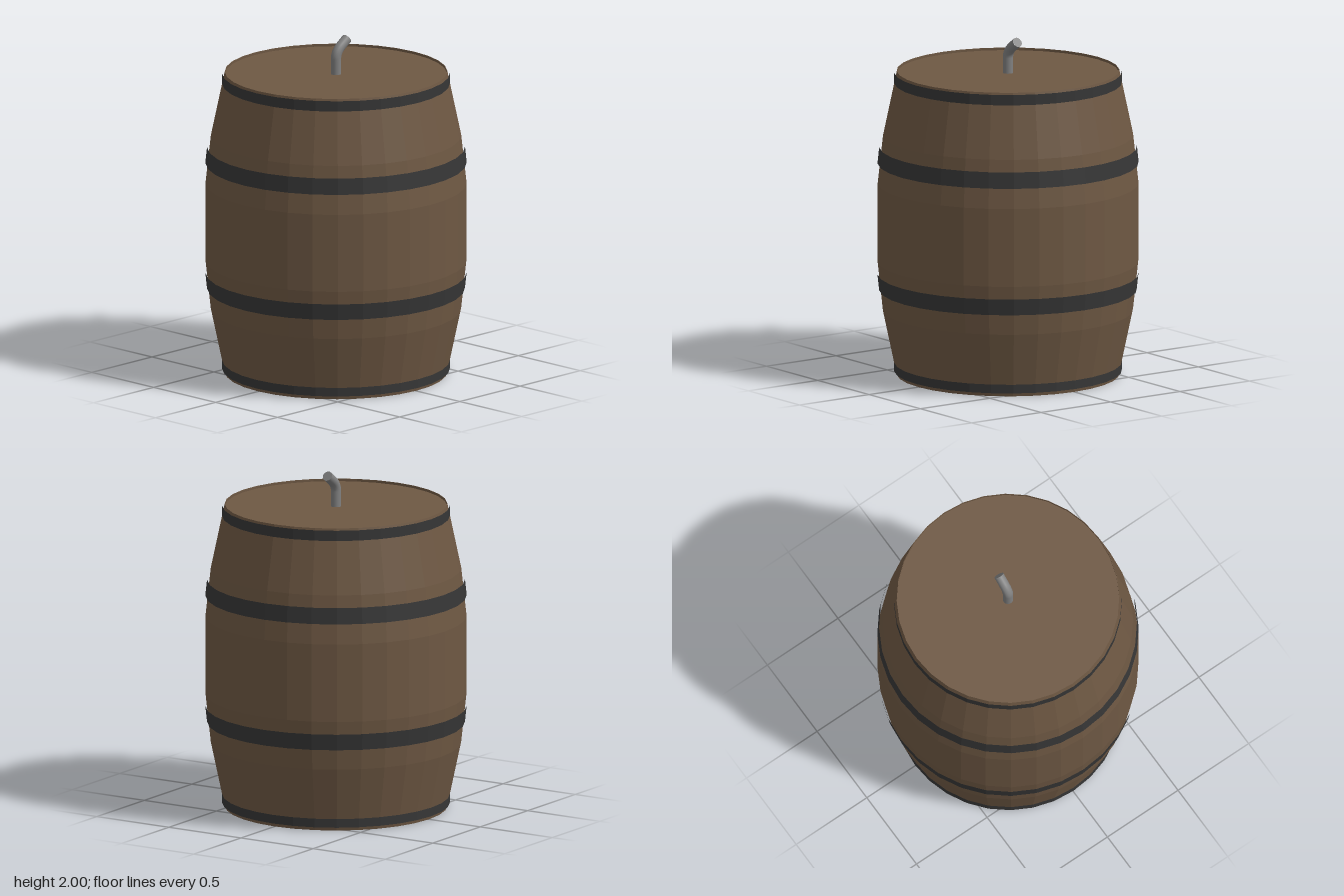
import * as THREE from 'three';

const SIDES = 32;
const wood = new THREE.MeshStandardMaterial({ color: 0x6e5843, flatShading: true });
const iron = new THREE.MeshStandardMaterial({ color: 0x363636, flatShading: true });
const metal = new THREE.MeshStandardMaterial({ color: 0x808080 });

// Turned part from [radius, height] pairs
function turned(name, profile, material) {
  const points = profile.map(([r, y]) => new THREE.Vector2(r, y));
  const mesh = new THREE.Mesh(new THREE.LatheGeometry(points, SIDES), material);
  mesh.name = name;
  return mesh;
}

export function createModel() {
  const group = new THREE.Group();
  group.name = 'barrel';

  // Bulging staves with base and slightly recessed lid
  group.add(turned('body', [
    [0, 0], [0.645, 0], [0.725, 0.38], [0.756, 0.67],
    [0.756, 1.13], [0.725, 1.415], [0.645, 1.795],
    [0.643, 1.795], [0.643, 1.78], [0, 1.78],
  ], wood));

  // Hoops: open bands standing just off the staves
  const hoops = [
    ['bottomHoop', [[0.66, 0.02], [0.66, 0.11]]],
    ['lowerHoop', [[0.747, 0.5], [0.757, 0.595]]],
    ['upperHoop', [[0.757, 1.25], [0.747, 1.345]]],
    ['topHoop', [[0.66, 1.69], [0.66, 1.785]]],
  ];
  for (const [name, profile] of hoops) group.add(turned(name, profile, iron));

  // Bent spout rising from the lid
  const spout = new THREE.Group();
  spout.name = 'spout';
  const bend = new THREE.CurvePath();
  const corner = new THREE.Vector3(0, 1.912, 0);
  const start = new THREE.Vector3(0, 1.87, 0);
  const bendEnd = new THREE.Vector3(0.045, 1.943, 0);
  const tip = new THREE.Vector3(0.091, 1.975, 0);
  bend.add(new THREE.LineCurve3(new THREE.Vector3(0, 1.775, 0), start));
  bend.add(new THREE.QuadraticBezierCurve3(start, corner, bendEnd));
  bend.add(new THREE.LineCurve3(bendEnd, tip));
  const pipe = new THREE.Mesh(new THREE.TubeGeometry(bend, 20, 0.03, 16), metal);
  pipe.name = 'spoutPipe';

  // Flat cap closing the tip
  const cap = new THREE.Mesh(new THREE.CircleGeometry(0.03, 16), metal);
  cap.name = 'spoutTip';
  cap.position.copy(tip);
  cap.quaternion.setFromUnitVectors(new THREE.Vector3(0, 0, 1), tip.clone().sub(bendEnd).normalize());
  spout.add(pipe, cap);
  group.add(spout);

  return group;
}
